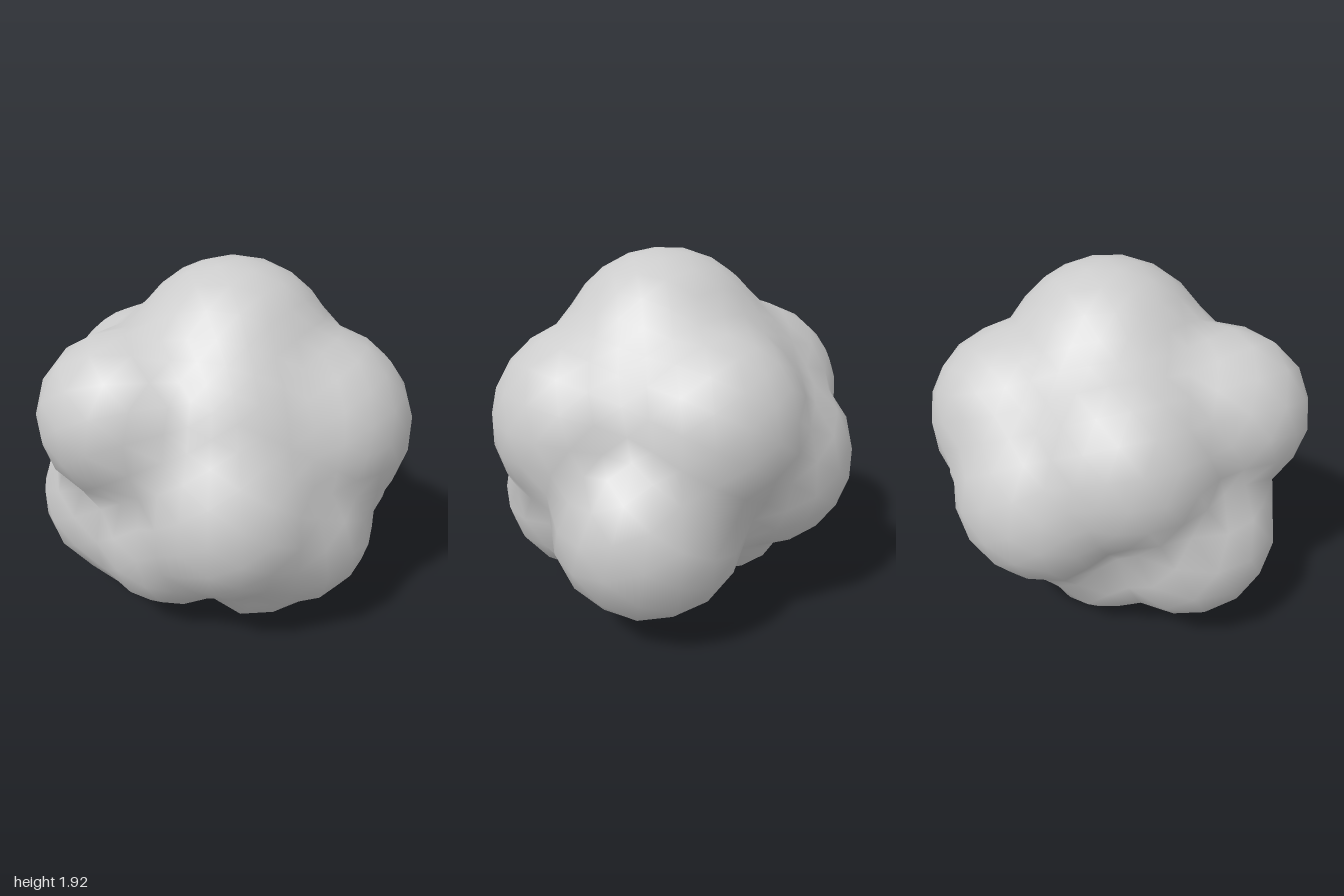
import * as THREE from 'three';
import { mergeVertices } from 'three/addons/utils/BufferGeometryUtils.js';

// Lobes swelling out of the cluster: centre x, y, z and radius
const LOBES = [
  [0.04, 1.38, 0.0, 0.555],   // top
  [-0.42, 1.21, 0.44, 0.44],  // front, upper
  [0.13, 0.79, 0.445, 0.51],  // front, middle
  [-0.2, 0.58, 0.34, 0.48],   // front, lower
  [-0.52, 0.62, 0.18, 0.485], // side, lower
  [0.48, 1.09, 0.04, 0.525],  // side, upper
  [0.39, 0.61, 0.25, 0.47],   // front corner, lower
  [0.43, 0.64, -0.35, 0.5],   // back corner, lower
  [-0.46, 1.11, -0.14, 0.495], // back corner, upper
  [0.12, 1.13, -0.46, 0.5],   // back, upper
  [-0.23, 0.88, -0.46, 0.5],  // back, lower
  [0.03, 0.62, 0.0, 0.55],    // underside, middle
  [0.22, 0.33, 0.26, 0.33],   // underside, front
  [-0.26, 0.44, -0.16, 0.39], // underside, back
].map(([x, y, z, r]) => ({ centre: new THREE.Vector3(x, y - 1, z), r }));

const CORE = 0.8;
const SHARPNESS = 70;

// Distance from the middle to the outermost lobe surface, with softened seams
function reach(dir) {
  let sum = CORE ** SHARPNESS;
  for (const { centre, r } of LOBES) {
    const along = dir.dot(centre);
    const disc = along * along - centre.lengthSq() + r * r;
    if (disc > 0) sum += Math.max(along + Math.sqrt(disc), 0) ** SHARPNESS;
  }
  return sum ** (1 / SHARPNESS);
}

export function createModel() {
  const group = new THREE.Group();
  group.name = 'lumpyCluster';

  // Welded icosphere, each vertex pushed out to the lobes
  let geometry = new THREE.IcosahedronGeometry(1, 6);
  geometry.deleteAttribute('normal');
  geometry.deleteAttribute('uv');
  geometry = mergeVertices(geometry, 1e-4);
  const pos = geometry.attributes.position;
  const v = new THREE.Vector3();
  for (let i = 0; i < pos.count; i++) {
    v.fromBufferAttribute(pos, i).normalize();
    v.multiplyScalar(reach(v));
    pos.setXYZ(i, v.x, v.y, v.z);
  }
  geometry.computeVertexNormals();

  // Rest the lowest lobe on the ground
  geometry.computeBoundingBox();
  geometry.translate(0, -geometry.boundingBox.min.y, 0);

  const body = new THREE.Mesh(geometry, new THREE.MeshStandardMaterial({ color: 0xcccccc }));
  body.name = 'lobedBody';
  group.add(body);
  return group;
}
